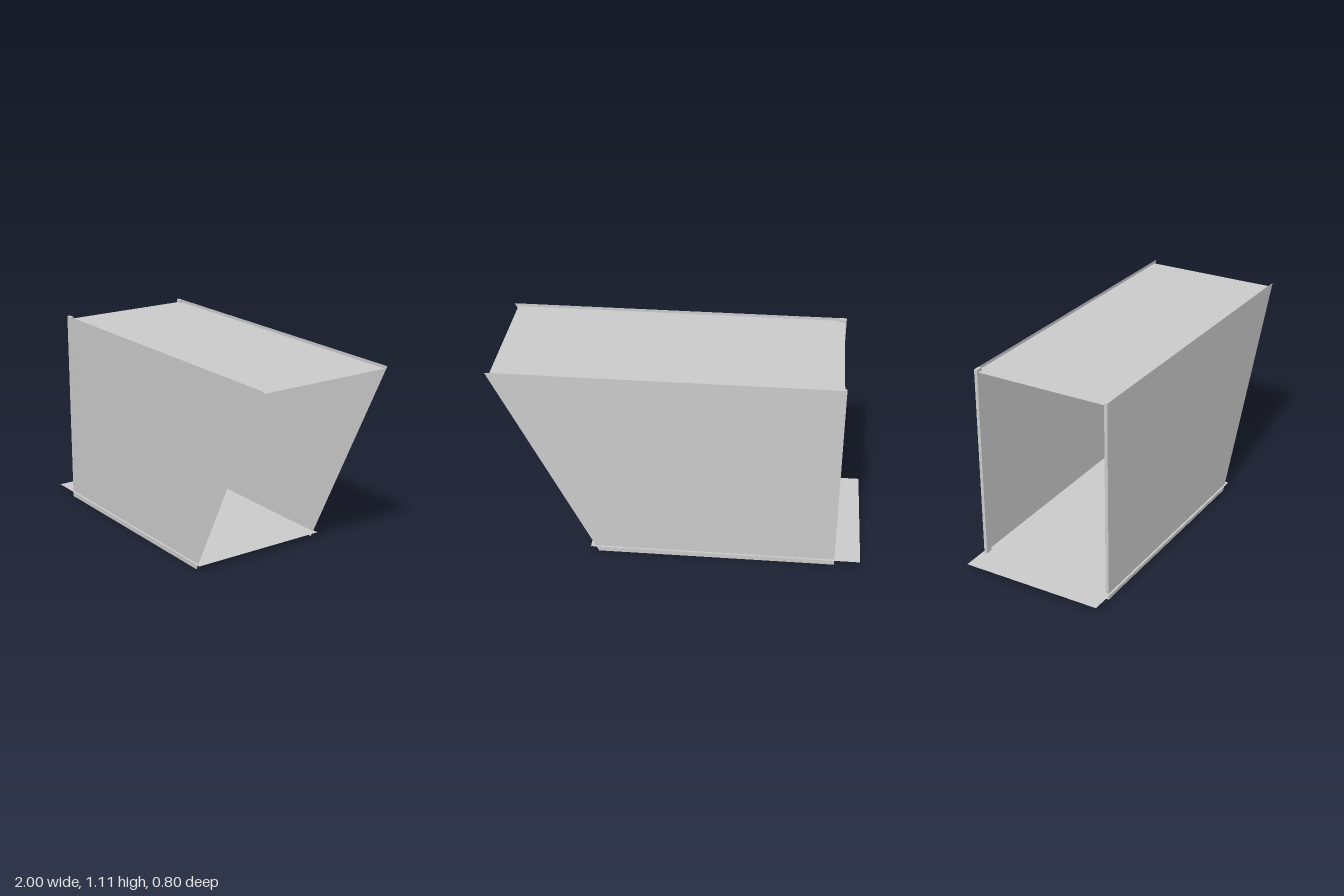
import * as THREE from 'three';

export function createModel() {
  const group = new THREE.Group();
  const material = new THREE.MeshStandardMaterial({ color: 0xcccccc, flatShading: true, side: THREE.DoubleSide });

  const add = (name, geometry, x, y, z) => {
    const mesh = new THREE.Mesh(geometry, material);
    mesh.name = name;
    mesh.position.set(x, y, z);
    group.add(mesh);
  };

  // Horizontal sheet between two x positions
  const sheet = (name, x0, x1, y, halfDepth) =>
    add(name, new THREE.PlaneGeometry(x1 - x0, halfDepth * 2).rotateX(-Math.PI / 2), (x0 + x1) / 2, y, 0);

  sheet('floorPanel', -1, 0.48, 0.035, 0.398);
  sheet('roofPanel', -0.85, 0.975, 1.093, 0.387);

  // Side wall with a slanted end
  const outline = new THREE.Shape([
    new THREE.Vector2(-0.82, 0),
    new THREE.Vector2(0.437, 0),
    new THREE.Vector2(0.995, 1.11),
    new THREE.Vector2(-0.82, 1.11),
  ]);

  // Mirrored walls, each with a slim upright post at the straight end
  for (const [side, s] of [['left', -1], ['right', 1]]) {
    add(side === 'left' ? 'backWall' : 'frontWall', new THREE.ShapeGeometry(outline), 0, 0, s * 0.387);
    add(side === 'left' ? 'backPost' : 'frontPost', new THREE.BoxGeometry(0.04, 1.11, 0.018), -0.84, 0.555, s * 0.379);
  }
  return group;
}
